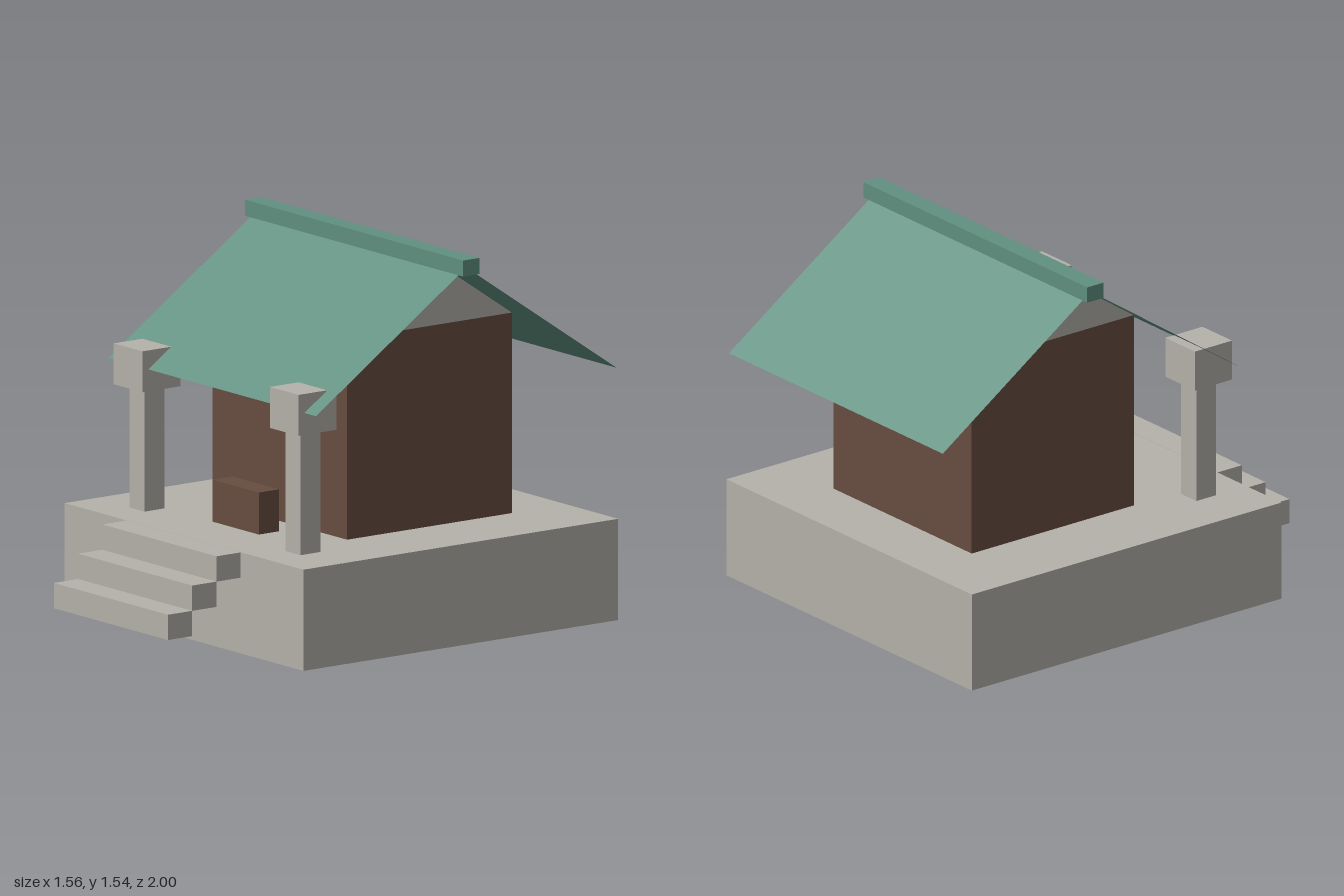
import * as THREE from 'three';

const RIDGE_Z = -0.25;

export function createModel() {
  const model = new THREE.Group();
  model.name = 'shrine';

  const material = (name, color) => {
    const m = new THREE.MeshStandardMaterial({ color, side: THREE.DoubleSide });
    m.name = name;
    return m;
  };
  const stone = material('stone', 0xb5b2aa);
  const wood = material('wood', 0x684d40);
  const green = material('roofGreen', 0x609080);

  const add = (name, geometry, mat) => {
    const mesh = new THREE.Mesh(geometry, mat);
    mesh.name = name;
    model.add(mesh);
    return mesh;
  };

  // Box given by its limits; an open one has no underside
  const box = (name, mat, [x0, x1], [y0, y1], [z0, z1], open = false) => {
    const g = new THREE.BoxGeometry(x1 - x0, y1 - y0, z1 - z0);
    if (open) {
      const index = Array.from(g.index.array);
      index.splice(18, 6);
      g.setIndex(index);
      g.clearGroups();
    }
    g.translate((x0 + x1) / 2, (y0 + y1) / 2, (z0 + z1) / 2);
    return add(name, g, mat);
  };

  // Hollow stone platform and the floating steps in front of it
  box('platform', stone, [-0.78, 0.78], [0, 0.41], [-0.93, 0.636], true);
  for (let i = 0; i < 3; i++) {
    const top = 0.41 - i * 0.1025;
    const back = 0.638 + i * 0.1207;
    box('step' + (i + 1), stone, [-0.373, 0.373], [top - 0.1025, top], [back, back + 0.1207], true);
  }

  // Hall, door panel and offering box
  box('hall', wood, [-0.44, 0.44], [0.41, 1.222], [-0.66, 0.16], true);
  box('door', wood, [-0.237, 0.237], [0.446, 1.1], [0.16, 0.165]);
  box('offeringBox', wood, [-0.152, 0.152], [0.41, 0.58], [0.28, 0.38], true);

  // Porch columns with block capitals
  for (const s of [-1, 1]) {
    const x = s * 0.51;
    box('column', stone, [x - 0.048, x + 0.048], [0.41, 0.91], [0.382, 0.482], true);
    box('capital', stone, [x - 0.094, x + 0.094], [0.907, 1.073], [0.338, 0.526]);
  }

  // Gable triangles, flush with the end walls
  const triangle = new THREE.Shape([
    new THREE.Vector2(-0.41, 1.222),
    new THREE.Vector2(0.41, 1.222),
    new THREE.Vector2(0, 1.498),
  ]);
  for (const s of [-1, 1]) {
    const gable = add('gable', new THREE.ShapeGeometry(triangle), stone);
    gable.rotation.y = s * Math.PI / 2;
    gable.position.set(s * 0.44, 0, RIDGE_Z);
  }

  // Two thin roof slopes meeting under the ridge beam
  const run = 0.747, rise = 0.504, ridgeY = 1.5;
  for (const s of [-1, 1]) {
    const slope = new THREE.PlaneGeometry(1.36, Math.hypot(run, rise));
    slope.rotateX(-Math.PI / 2);
    slope.rotateX(Math.atan2(rise, run));
    slope.translate(0, ridgeY - rise / 2, run / 2);
    if (s < 0) slope.rotateY(Math.PI);
    slope.translate(0, 0, RIDGE_Z);
    add(s > 0 ? 'frontRoof' : 'backRoof', slope, green);
  }
  box('ridgeBeam', green, [-0.712, 0.712], [1.474, 1.539], [-0.292, -0.21]);

  return model;
}
